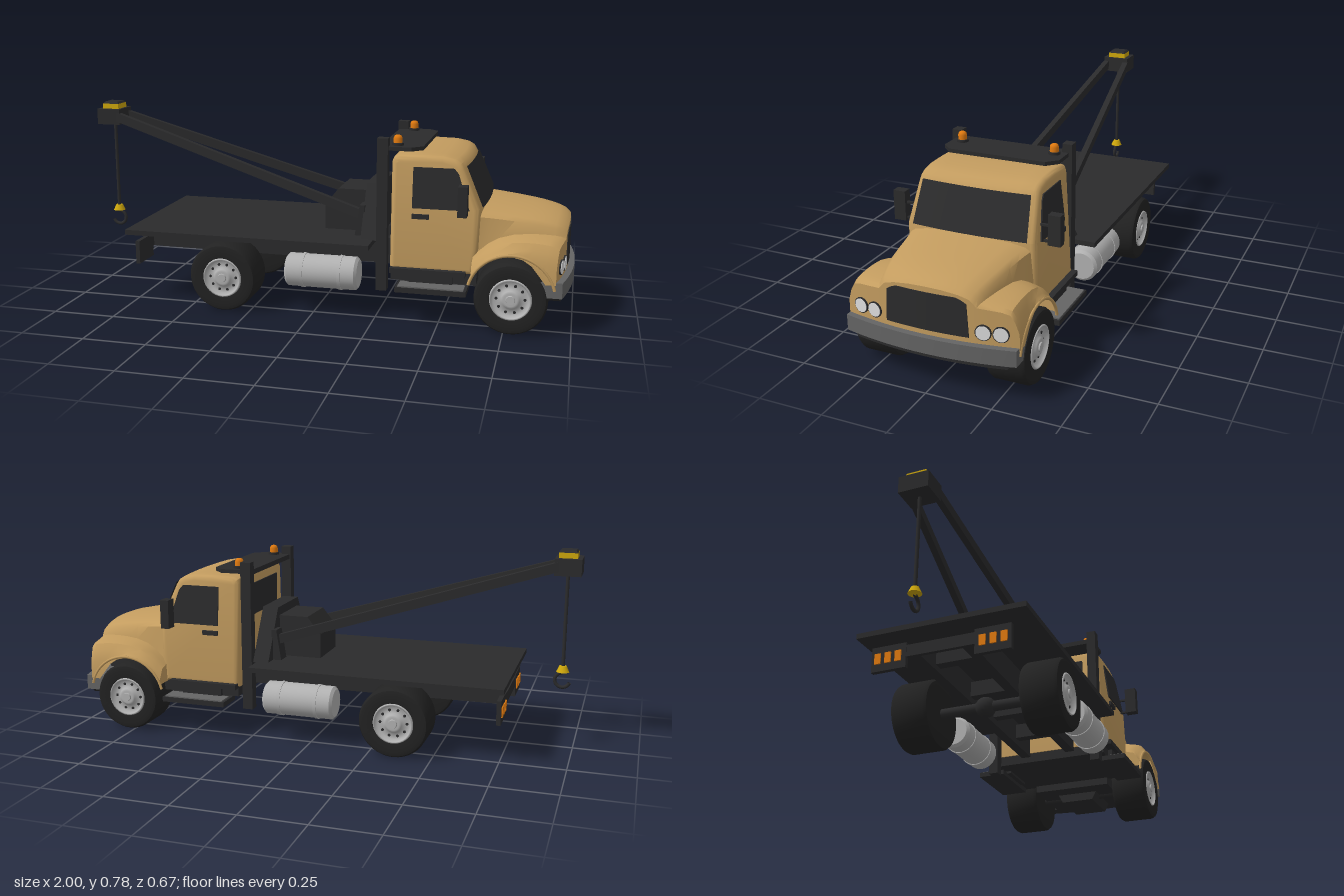
import * as THREE from 'three';
import { toCreasedNormals } from 'three/addons/utils/BufferGeometryUtils.js';

const mat = (name, color, side = THREE.FrontSide) => {
  const m = new THREE.MeshStandardMaterial({ color, side });
  m.name = name;
  return m;
};

export function createModel() {
  const paint = mat('tan paint', 0xc39c5f, THREE.DoubleSide);
  const dark = mat('dark steel', 0x2b2b2c, THREE.DoubleSide);
  const tyre = mat('tyre rubber', 0x222222);
  const grey = mat('bumper grey', 0x646464);
  const alloy = mat('aluminium', 0xb2b2b2);
  const lens = mat('headlight lens', 0xdedede);
  const yellow = mat('yellow', 0xcfa80c);
  const orange = mat('orange lamp', 0xe07a10);
  const truck = new THREE.Group();
  truck.name = 'towTruck';

  const add = (name, geo, m, x = 0, y = 0, z = 0, parent = truck) => {
    const mesh = new THREE.Mesh(geo, m);
    mesh.name = name;
    mesh.position.set(x, y, z);
    parent.add(mesh);
    return mesh;
  };
  // Box given by its ranges on the three axes
  const box = (name, m, x0, x1, y0, y1, z0, z1) =>
    add(name, new THREE.BoxGeometry(x1 - x0, y1 - y0, z1 - z0), m, (x0 + x1) / 2, (y0 + y1) / 2, (z0 + z1) / 2);
  const boxPair = (name, m, x0, x1, y0, y1, z0, z1) => {
    box(name + 'Left', m, x0, x1, y0, y1, z0, z1);
    box(name + 'Right', m, x0, x1, y0, y1, -z1, -z0);
  };
  // Side profile (x, y) extruded between two z values
  const prism = (pts, z0, z1, bevel = 0, steps = 1) => {
    const shape = new THREE.Shape(pts.map(p => new THREE.Vector2(...p)));
    return new THREE.ExtrudeGeometry(shape, {
      depth: z1 - z0 - 2 * bevel, steps, bevelEnabled: bevel > 0, bevelThickness: bevel,
      bevelSize: bevel, bevelOffset: -bevel, bevelSegments: 4,
    }).translate(0, 0, z0 + bevel);
  };
  const warp = (geo, fn) => {
    const p = geo.attributes.position, v = new THREE.Vector3();
    for (let i = 0; i < p.count; i++) {
      fn(v.fromBufferAttribute(p, i));
      p.setXYZ(i, v.x, v.y, v.z);
    }
    geo.computeVertexNormals();
    return geo;
  };
  const taper = v => { v.z *= 1 - Math.max(0, v.y - 0.42) * 0.45; };
  const bow = z => 0.016 * (1 - (z / 0.262) ** 2);
  const noseBend = z => -0.04 * (z / 0.33) ** 2;
  const bentBox = (w, h, d, x, y, rule = () => {}) =>
    toCreasedNormals(warp(new THREE.BoxGeometry(w, h, d, 1, 1, 16).translate(x, y, 0), v => {
      rule(v);
      v.x += noseBend(v.z);
    }), 0.5);
  // Grid surface through rows of points
  const loft = rows => {
    const n = rows[0].length, idx = [];
    for (let i = 0; i < rows.length - 1; i++)
      for (let j = 0; j < n - 1; j++) {
        const a = i * n + j, b = a + n;
        idx.push(a, a + 1, b, b, a + 1, b + 1);
      }
    const g = new THREE.BufferGeometry();
    g.setAttribute('position', new THREE.Float32BufferAttribute(rows.flat(2), 3));
    g.setIndex(idx);
    g.computeVertexNormals();
    return toCreasedNormals(g, 0.7);
  };

  // Cab with a bowed, sloping front and inward leaning sides
  const cab = [[0.305, 0.2], [0.305, 0.62], [0.312, 0.638], [0.332, 0.646], [0.42, 0.649], [0.5, 0.647],
    [0.545, 0.638], [0.568, 0.624], [0.58, 0.604], [0.645, 0.455], [0.645, 0.3], [0.63, 0.2]];
  add('cab', toCreasedNormals(warp(prism(cab, -0.262, 0.262, 0.022, 8), v => {
    if (v.x > 0.53 && v.y > 0.43) v.x += bow(v.z);
    taper(v);
  }), 0.5), paint);
  const pane = [[0.39, 0.45], [0.39, 0.605], [0.545, 0.605], [0.562, 0.585], [0.607, 0.45]];
  for (const [s, side] of [[1, 'Left'], [-1, 'Right']]) {
    const z = 0.264 * s;
    add('sideWindow' + side, warp(prism(pane, z - 0.003, z + 0.003), taper), dark);
    box('doorHandle' + side, dark, 0.39, 0.455, 0.41, 0.428, z - 0.004, z + 0.006);
  }
  const across = Array.from({ length: 13 }, (_, i) => 1 - i / 6);
  const screenRow = (x, y, half) => across.map(t => [x + bow(half * t) + 0.006, y, half * t]);
  add('windscreen', loft([screenRow(0.577, 0.612, 0.215), screenRow(0.644, 0.458, 0.227)]), dark);
  box('rearWindow', dark, 0.3, 0.306, 0.47, 0.6, -0.17, 0.17);

  // Hood and flared fenders: x, hood height, fender height
  const stations = [[0.625, 0.462, 0.27], [0.645, 0.46, 0.29], [0.68, 0.457, 0.32], [0.72, 0.453, 0.342],
    [0.775, 0.447, 0.356], [0.83, 0.44, 0.36], [0.87, 0.434, 0.36], [0.905, 0.427, 0.358],
    [0.935, 0.419, 0.355], [0.96, 0.409, 0.35], [0.976, 0.394, 0.34]];
  const hoodRows = stations.map(([x, top, f], i) => {
    const arch = Math.max(0.205, 0.143 + Math.sqrt(Math.max(0, 0.0256 - (x - 0.775) ** 2)));
    const s = 0.245 - 0.07 * i / 10, bend = Math.min(1, Math.max(0, (x - 0.75) / 0.2));
    const half = [[0, top], [s * 0.35, top - 0.002], [s * 0.7, top - 0.01], [s * 0.92, top - 0.022], [s, top - 0.036],
      [s + 0.01, Math.min(top - 0.045, f + 0.006)], [0.27, f], [0.298, f - 0.008],
      [0.314, Math.max(arch + 0.02, f - 0.035)], [0.327, Math.max(arch + 0.01, f - 0.075)], [0.328, arch]];
    const pts = [...half.slice(1).reverse().map(([z, y]) => [-z, y]), ...half];
    return pts.map(([z, y]) => [x + noseBend(z) * bend, y, z]);
  });
  add('hoodAndFenders', loft(hoodRows), paint);
  const nose = hoodRows[hoodRows.length - 1];
  add('noseFace', loft([nose, nose.map(([x, , z]) => [x, 0.2, z])]), paint);
  const rear = hoodRows[0];
  add('fenderBack', loft([rear, rear.map(([x, , z]) => [x, 0.2, z])]), paint);
  for (const s of [1, -1])
    add('wheelArchLip', new THREE.TorusGeometry(0.163, 0.006, 6, 24, Math.PI * 0.84), paint, 0.775, 0.143, 0.326 * s)
      .rotation.z = Math.PI * 0.08;

  // Grille, headlights and bumper
  add('grille', bentBox(0.008, 0.14, 0.314, 0.975, 0.304, v => {
    if (v.y > 0.3) { v.y -= Math.max(0, Math.abs(v.z) - 0.125) * 0.6; v.z *= 0.96; }
  }), dark);
  for (const s of [1, -1])
    for (const z of [0.206, 0.266]) {
      const lamp = new THREE.Group();
      lamp.name = 'headlight';
      lamp.position.set(0.971 + noseBend(z), 0.26, z * s);
      lamp.rotation.y = -s * z * 0.73;
      truck.add(lamp);
      add('headlightRim', new THREE.CylinderGeometry(0.029, 0.029, 0.02, 24), dark, 0, 0, 0, lamp).rotation.z = -Math.PI / 2;
      add('headlightLens', new THREE.CylinderGeometry(0.0255, 0.0255, 0.006, 24), lens, 0.009, 0, 0, lamp).rotation.z = -Math.PI / 2;
    }
  add('frontBumper', bentBox(0.085, 0.06, 0.652, 0.957, 0.185), grey);
  add('bumperValance', bentBox(0.06, 0.022, 0.62, 0.955, 0.146, v => { if (v.y < 0.146) v.z *= 0.93; }), dark);

  // Underside
  box('engineBay', dark, 0.62, 0.94, 0.13, 0.3, -0.17, 0.17);
  box('cabFloor', dark, 0.31, 0.64, 0.16, 0.21, -0.25, 0.25);
  add('sump', warp(new THREE.BoxGeometry(0.2, 0.045, 0.19), v => { if (v.y < 0) v.z *= 0.75; }), dark, 0.8, 0.117);
  const rail = [[-0.74, 0.19], [-0.74, 0.225], [-0.61, 0.275], [-0.61, 0.288], [0.32, 0.288], [0.64, 0.22], [0.64, 0.16], [0.3, 0.185]];
  for (const z of [0.1, -0.1]) add('chassisRail', prism(rail, z - 0.02, z + 0.02), dark);
  for (const x of [-0.6, -0.3, -0.08, 0.16]) box('crossMember', dark, x - 0.02, x + 0.02, 0.21, 0.27, -0.1, 0.1);
  for (const x of [0.775, -0.355])
    add('axle', new THREE.CylinderGeometry(0.02, 0.02, 0.4, 12), dark, x, 0.137).rotation.x = Math.PI / 2;
  add('differential', new THREE.SphereGeometry(0.04, 16, 10), dark, -0.355, 0.137);

  // Wheels with dished rims
  const V = pts => pts.map(p => new THREE.Vector2(...p));
  const tyreGeo = toCreasedNormals(new THREE.LatheGeometry(V([[0, -0.153], [0.115, -0.153], [0.13, -0.149], [0.137, -0.137],
    [0.137, -0.016], [0.13, -0.004], [0.115, 0], [0.08, -0.004], [0.077, -0.032], [0, -0.032]]), 40), 0.6);
  const rimGeo = new THREE.LatheGeometry(V([[0.08, -0.014], [0.078, -0.002], [0.072, -0.001], [0.066, -0.022],
    [0.04, -0.016], [0.034, -0.005], [0.025, -0.003], [0, -0.003]]), 32);
  const wheel = (x, s) => {
    const g = new THREE.Group();
    g.name = 'wheel';
    g.position.set(x, 0.137, 0.333 * s);
    g.rotation.x = s * Math.PI / 2;
    truck.add(g);
    add('tyre', tyreGeo, tyre, 0, 0, 0, g);
    add('rim', rimGeo, alloy, 0, 0, 0, g);
    add('hubCap', new THREE.CylinderGeometry(0.016, 0.018, 0.006, 20), alloy, 0, -0.001, 0, g);
    for (let i = 0; i < 10; i++) {
      const a = i * Math.PI / 5;
      add('rimHole', new THREE.CylinderGeometry(0.0055, 0.0055, 0.004, 10), dark, 0.053 * Math.cos(a), -0.018, 0.053 * Math.sin(a), g);
    }
  };
  for (const s of [1, -1]) { wheel(0.775, s); wheel(-0.355, s); }

  // Fuel tanks, steps and mirrors
  for (const s of [1, -1]) {
    const tank = V([[0, -0.145], [0.055, -0.145], [0.066, -0.135], [0.066, 0.135], [0.055, 0.145], [0, 0.145]]);
    add('fuelTank', toCreasedNormals(new THREE.LatheGeometry(tank, 28), 0.5), alloy, 0.04, 0.172, 0.25 * s).rotation.z = Math.PI / 2;
    for (const x of [-0.035, 0.115])
      add('tankStrap', new THREE.CylinderGeometry(0.069, 0.069, 0.012, 28), alloy, x, 0.172, 0.25 * s).rotation.z = Math.PI / 2;
  }
  boxPair('lowerStep', dark, 0.34, 0.61, 0.135, 0.155, 0.22, 0.333);
  boxPair('lowerTread', grey, 0.35, 0.6, 0.155, 0.16, 0.26, 0.328);
  boxPair('stepBracket', dark, 0.38, 0.55, 0.15, 0.2, 0.2, 0.268);
  boxPair('sillStep', dark, 0.31, 0.6, 0.195, 0.215, 0.24, 0.285);
  boxPair('mirror', dark, 0.57, 0.605, 0.44, 0.555, 0.285, 0.333);
  boxPair('mirrorArmUpper', dark, 0.583, 0.593, 0.505, 0.513, 0.245, 0.29);
  boxPair('mirrorArmLower', dark, 0.583, 0.593, 0.445, 0.453, 0.25, 0.29);

  // Flat bed, rear bar with a lamp panel at each end
  box('bed', dark, -0.768, 0.235, 0.287, 0.307, -0.325, 0.325);
  box('rearBar', dark, -0.75, -0.735, 0.19, 0.235, -0.14, 0.14);
  boxPair('lampPanel', dark, -0.752, -0.735, 0.15, 0.245, 0.13, 0.265);
  for (const z of [0.16, 0.2, 0.24])
    boxPair('rearLamp', orange, -0.757, -0.751, 0.178, 0.218, z - 0.012, z + 0.012);

  // Rack behind the cab with light platform and beacons
  boxPair('rackPost', dark, 0.25, 0.292, 0.11, 0.71, 0.21, 0.249);
  box('rackBar', dark, 0.255, 0.29, 0.657, 0.677, -0.23, 0.23);
  const deck = [[0.29, -0.235], [0.29, 0.235], [0.38, 0.235], [0.42, 0.195], [0.42, -0.195], [0.38, -0.235]];
  add('lightPlatform', prism(deck, 0, 0.015).rotateX(Math.PI / 2), dark, 0, 0.677);
  const beacon = V([[0.017, 0], [0.017, 0.02], [0.014, 0.029], [0.007, 0.033], [0, 0.033]]);
  for (const z of [0.19, -0.19]) {
    add('beaconBase', new THREE.CylinderGeometry(0.023, 0.023, 0.012, 20), dark, 0.32, 0.681, z);
    add('beacon', new THREE.LatheGeometry(beacon, 20), orange, 0.32, 0.684, z);
  }

  // Winch housing against a wall with sloping shoulders
  add('winchWall', warp(new THREE.BoxGeometry(0.065, 0.205, 0.47), v => { if (v.y > 0) v.z *= 0.5; }), dark, 0.2175, 0.4075);
  add('winchHousing', prism([[0.01, 0.305], [0.01, 0.405], [0.065, 0.475], [0.19, 0.475], [0.19, 0.305]], -0.1, 0.1), dark);

  // Boom arms converging on the head
  for (const s of [1, -1]) {
    const a = new THREE.Vector3(0.18, 0.385, 0.15 * s), b = new THREE.Vector3(-0.92, 0.725, 0.045 * s);
    const arm = add('boomArm', new THREE.BoxGeometry(0.025, 0.036, a.distanceTo(b)), dark);
    arm.position.copy(a).lerp(b, 0.5);
    arm.lookAt(b);
    add('boomFoot', prism([[0.15, 0.305], [0.17, 0.43], [0.19, 0.43], [0.19, 0.305]], 0.15 * s - 0.03, 0.15 * s + 0.03), dark);
  }
  box('boomHead', dark, -1, -0.9, 0.69, 0.755, -0.058, 0.058);
  box('headBand', yellow, -0.982, -0.912, 0.755, 0.776, -0.039, 0.039);
  add('headCap', warp(new THREE.BoxGeometry(0.07, 0.008, 0.078), v => { if (v.y > 0) { v.x *= 0.8; v.z *= 0.8; } }), dark, -0.947, 0.78);

  // Cable and hook
  add('cable', new THREE.CylinderGeometry(0.007, 0.007, 0.37, 10), dark, -0.947, 0.51);
  add('hookBlock', new THREE.CylinderGeometry(0.014, 0.025, 0.024, 16), yellow, -0.947, 0.318);
  add('hook', new THREE.TorusGeometry(0.029, 0.007, 8, 24, Math.PI * 1.39), dark, -0.947, 0.273)
    .rotation.z = Math.PI * 1.11;

  return truck;
}
